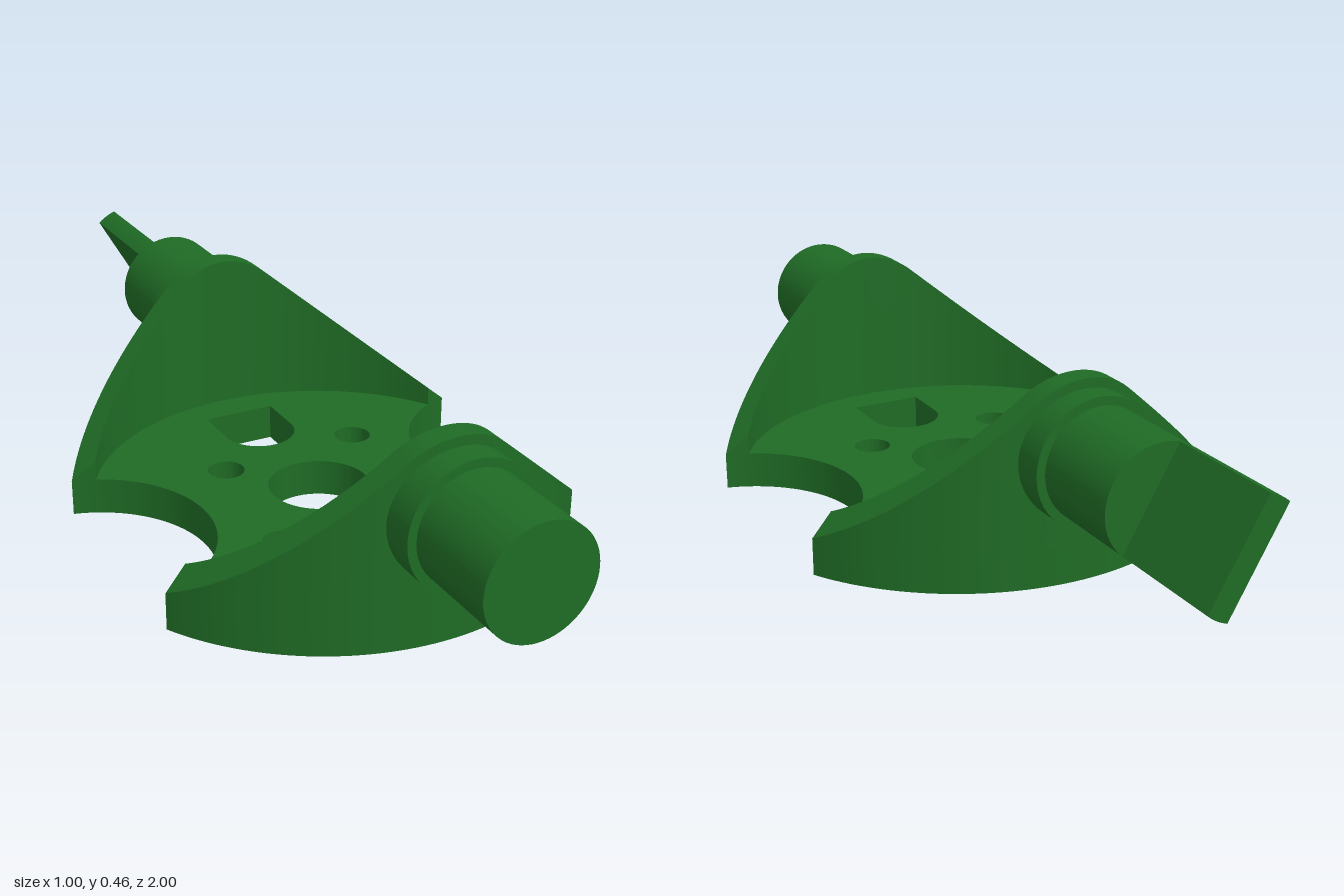
import * as THREE from 'three';
import { toCreasedNormals } from 'three/addons/utils/BufferGeometryUtils.js';

const R = 0.57;          // outer radius of plate and walls
const RI = 0.515;        // inner radius of walls
const T = 0.087;         // plate thickness
const AXIS = 0.29;       // height of the shaft axis
const SHAFT_R = 0.128;
const material = new THREE.MeshStandardMaterial({ color: 0x1f6b25 });

function addMesh(parent, name, geometry) {
  const mesh = new THREE.Mesh(geometry, material);
  mesh.name = name;
  parent.add(mesh);
  return mesh;
}

// Disc with two scooped sides, a centre bore, four small holes and two arched slots
function plateGeometry() {
  const a = Math.atan2(0.275, 0.5), c = 0.568, r = 0.283;
  const b = Math.atan2(0.275, 0.068);
  const shape = new THREE.Shape();
  shape.absarc(0, 0, R, a, Math.PI - a, false);
  shape.absarc(-c, 0, r, b, -b, true);
  shape.absarc(0, 0, R, Math.PI + a, 2 * Math.PI - a, false);
  shape.absarc(c, 0, r, Math.PI + b, Math.PI - b, true);
  shape.closePath();

  const rounds = [[0, 0, 0.117], [-0.16, 0.162, 0.043], [0.192, 0.192, 0.043],
    [-0.192, -0.192, 0.043], [0.16, -0.162, 0.043]];
  for (const [x, y, radius] of rounds) {
    shape.holes.push(new THREE.Path().absarc(x, y, radius, 0, Math.PI * 2, true));
  }
  for (const s of [1, -1]) {
    const slot = new THREE.Path();
    slot.moveTo(-0.087, s * 0.43);
    slot.lineTo(0.087, s * 0.43);
    slot.absarc(0, s * 0.317, 0.087, 0, s * -Math.PI, s > 0);
    slot.closePath();
    shape.holes.push(slot);
  }
  const geo = new THREE.ExtrudeGeometry(shape, { depth: T, bevelEnabled: false, curveSegments: 48 });
  geo.rotateX(-Math.PI / 2);
  return toCreasedNormals(geo, 0.5);
}

// Wall height across x: straight slopes meeting a rounded crown
function wallHeight(x) {
  const ax = Math.abs(x);
  return ax < 0.11 ? AXIS + Math.sqrt(0.17 * 0.17 - ax * ax) : T + (0.5 - ax) * 0.853;
}

// Curved wall swept around the rim from four-point cross-sections
function wallGeometry() {
  const n = 96, pos = [], index = [];
  for (let i = 0; i <= n; i++) {
    const s = (i / n) * 2 - 1;
    const ti = s * 1.05, to = s * 1.068;
    const xi = RI * Math.sin(ti), zi = RI * Math.cos(ti);
    const xo = R * Math.sin(to), zo = R * Math.cos(to);
    pos.push(xi, T, zi, xo, T, zo);
    pos.push(xo, Math.max(T, wallHeight(xo)), zo, xi, wallHeight(xi), zi);
    if (i === n) break;
    for (let k = 0; k < 4; k++) {
      const a = i * 4 + k, b = i * 4 + (k + 1) % 4, c = b + 4, d = a + 4;
      index.push(a, d, c, a, c, b);
    }
  }
  const e = n * 4;
  index.push(0, 1, 2, 0, 2, 3, e, e + 2, e + 1, e, e + 3, e + 2);
  const geo = new THREE.BufferGeometry();
  geo.setAttribute('position', new THREE.Float32BufferAttribute(pos, 3));
  geo.setIndex(index);
  return toCreasedNormals(geo, 0.5);
}

// Cylinder lying along z between two depths
function rod(radius, z0, z1) {
  const geo = new THREE.CylinderGeometry(radius, radius, z1 - z0, 64);
  geo.rotateX(Math.PI / 2);
  geo.translate(0, AXIS, (z0 + z1) / 2);
  return geo;
}

// Tilted flat tang: the shaft circle cut by two parallel flats
function tangGeometry(z0, z1) {
  const mid = Math.PI * 2 / 3, half = 0.203;
  const shape = new THREE.Shape();
  shape.absarc(0, 0, SHAFT_R, mid - half, mid + half, false);
  shape.absarc(0, 0, SHAFT_R, mid + Math.PI - half, mid + Math.PI + half, false);
  shape.closePath();
  const geo = new THREE.ExtrudeGeometry(shape, { depth: z1 - z0, bevelEnabled: false, curveSegments: 10 });
  geo.translate(0, AXIS, z0);
  return toCreasedNormals(geo, 0.5);
}

export function createModel() {
  const model = new THREE.Group();
  model.name = 'pivotBracket';

  const body = new THREE.Group();
  body.name = 'body';
  body.position.z = 0.14;
  model.add(body);

  addMesh(body, 'basePlate', plateGeometry());
  const wall = wallGeometry();
  addMesh(body, 'frontWall', wall);
  addMesh(body, 'backWall', wall).rotation.y = Math.PI;

  // Collars and shafts, sunk into the walls
  addMesh(model, 'frontCollar', rod(0.148, 0.67, 0.77));
  addMesh(model, 'frontShaft', rod(SHAFT_R, 0.68, 1));
  addMesh(model, 'backCollar', rod(0.148, -0.487, -0.39));
  addMesh(model, 'backShaft', rod(SHAFT_R, -0.715, -0.4));
  addMesh(model, 'backTang', tangGeometry(-1, -0.71));
  return model;
}
